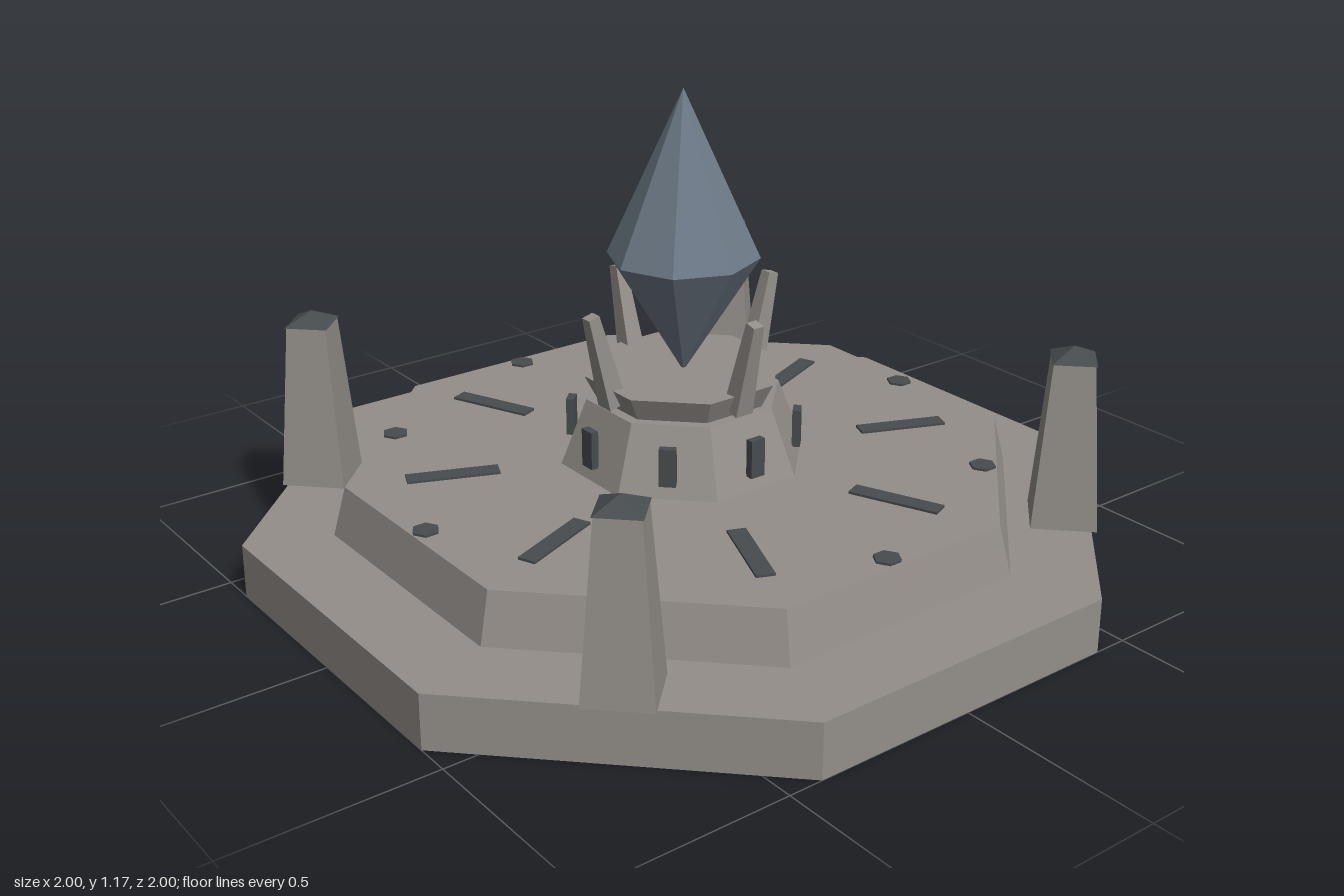
import * as THREE from 'three';

const mat = (name, color) => {
  const m = new THREE.MeshStandardMaterial({ color, flatShading: true });
  m.name = name;
  return m;
};

export function createModel() {
  const root = new THREE.Group();
  root.name = 'crystalShrine';
  const stone = mat('stone', 0x938e89);
  const dark = mat('darkMetal', 0x474c4e);
  const crystalMat = mat('crystal', 0x6c7986);

  const add = (name, geo, material, parent = root) => {
    const mesh = new THREE.Mesh(geo, material);
    mesh.name = name;
    parent.add(mesh);
    return mesh;
  };
  // Tapered octagonal slab with flat sides on the axes, sized by flat-to-centre distance
  const octagon = (name, top, bottom, y0, y1) => {
    const k = 1 / Math.cos(Math.PI / 8);
    const geo = new THREE.CylinderGeometry(top * k, bottom * k, y1 - y0, 8);
    geo.rotateY(Math.PI / 8).translate(0, (y0 + y1) / 2, 0);
    return add(name, geo, stone);
  };
  // Repeat a part around the vertical axis; build() makes it on the +z side
  const ring = (name, count, offset, build) => {
    for (let i = 0; i < count; i++) {
      const g = new THREE.Group();
      g.name = name;
      g.rotation.y = offset + (i * Math.PI * 2) / count;
      build(g);
      root.add(g);
    }
  };

  // Stepped platform, pedestal and collar
  octagon('basePlatform', 1, 1, 0, 0.135);
  octagon('upperPlatform', 0.77, 0.8, 0.135, 0.257);
  octagon('pedestal', 0.225, 0.285, 0.257, 0.42);
  octagon('collar', 0.228, 0.2, 0.42, 0.48);

  // Floating crystal
  const gem = new THREE.LatheGeometry(
    [[0, 0.47], [0.186, 0.767], [0, 1.175]].map(([x, y]) => new THREE.Vector2(x, y)), 8);
  add('crystal', gem, crystalMat);

  // Leaning prongs around the crystal
  ring('prong', 4, 0, (g) => {
    const geo = new THREE.CylinderGeometry(0.021, 0.036, 0.24, 4).rotateY(Math.PI / 4);
    const prong = add('prongBlade', geo, stone, g);
    prong.position.set(0, 0.553, 0.242);
    prong.rotation.x = 0.25;
  });

  // Upright panels around the pedestal
  ring('pedestalPanel', 8, 0, (g) => {
    add('panel', new THREE.BoxGeometry(0.04, 0.095, 0.02), dark, g).position.set(0, 0.338, 0.28);
  });

  // Radial inlays and hexagonal studs on the upper platform
  ring('radialInlay', 8, Math.PI / 8, (g) => {
    add('inlay', new THREE.BoxGeometry(0.045, 0.016, 0.225), dark, g).position.set(0, 0.255, 0.575);
  });
  for (let i = 0; i < 8; i++) {
    const a = (i * Math.PI) / 4;
    add('stud', new THREE.CylinderGeometry(0.033, 0.033, 0.016, 6), dark)
      .position.set(0.735 * Math.sin(a), 0.255, 0.735 * Math.cos(a));
  }

  // Corner obelisks with dark caps
  for (const x of [-0.66, 0.66]) {
    for (const z of [-0.66, 0.66]) {
      const g = new THREE.Group();
      g.name = 'obelisk';
      g.position.set(x, 0, z);
      add('obeliskShaft', new THREE.CylinderGeometry(0.07, 0.112, 0.415, 4), stone, g).position.y = 0.3425;
      add('obeliskCap', new THREE.ConeGeometry(0.075, 0.032, 4), dark, g).position.y = 0.566;
      root.add(g);
    }
  }
  return root;
}
